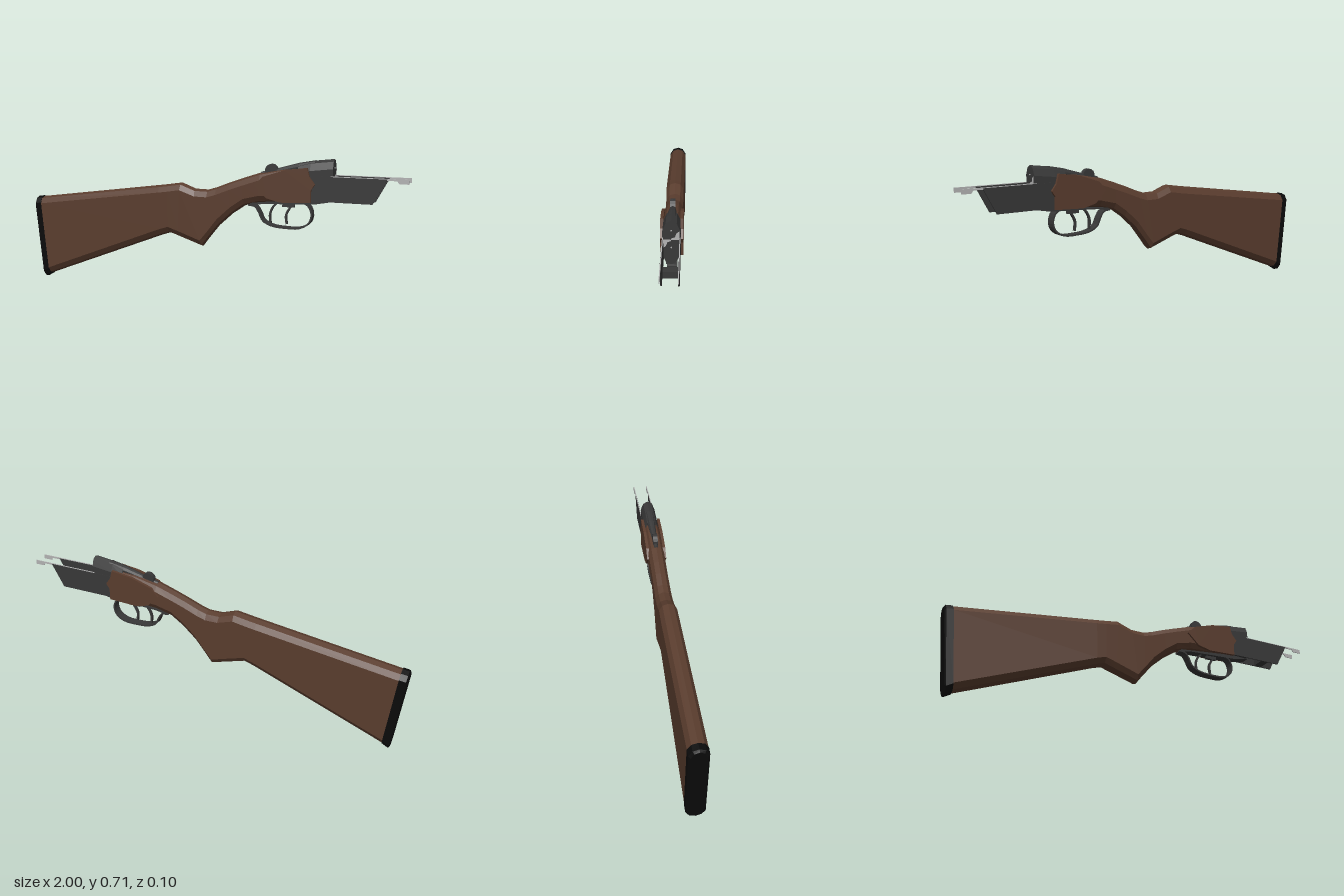
import * as THREE from 'three';

const mat = (name, color, extra = {}) =>
  Object.assign(new THREE.MeshStandardMaterial({ color, flatShading: true, ...extra }), { name });

// Loft of bevelled cross-sections; each station is [topX, topY, bottomX, bottomY, halfWidth, bevel]
function loft(stations) {
  const rings = stations.map(([tx, ty, bx, by, w, bevel = 0.035]) => {
    const top = new THREE.Vector3(tx, ty, 0), bottom = new THREE.Vector3(bx, by, 0);
    const h = top.distanceTo(bottom);
    const b = Math.min(bevel, h * 0.4);
    const half = [[0, 0], [0.62, b * 0.25], [1, b], [1, h - b], [0.62, h - b * 0.25], [0, h]];
    const ring = [...half, ...half.slice(1, -1).reverse().map(([z, d]) => [-z, d])];
    return ring.map(([z, d]) => top.clone().lerp(bottom, d / h).setZ(z * w));
  });
  const pos = [], n = rings[0].length, last = rings.length - 1;
  const tri = (...p) => p.forEach((v) => pos.push(v.x, v.y, v.z));
  for (let i = 0; i < last; i++) {
    for (let j = 0; j < n; j++) {
      const k = (j + 1) % n, a = rings[i], b = rings[i + 1];
      tri(a[j], a[k], b[k]);
      tri(a[j], b[k], b[j]);
    }
  }
  for (let j = 1; j < n - 1; j++) {
    tri(rings[last][0], rings[last][j], rings[last][j + 1]);
    tri(rings[0][0], rings[0][j + 1], rings[0][j]);
  }
  const g = new THREE.BufferGeometry();
  g.setAttribute('position', new THREE.Float32BufferAttribute(pos, 3));
  g.computeVertexNormals();
  return g;
}

// Side outline extruded across z and centred on zMid
function slab(points, width, zMid = 0) {
  const shape = new THREE.Shape(points.map(([x, y]) => new THREE.Vector2(x, y)));
  return new THREE.ExtrudeGeometry(shape, { depth: width, bevelEnabled: false }).translate(0, 0, zMid - width / 2);
}

// Bent strap of even thickness following a smooth path in the side plane
function strap(points, thickness, width, steps = 28) {
  const curve = new THREE.CatmullRomCurve3(points.map(([x, y]) => new THREE.Vector3(x, y, 0)));
  const outer = [], inner = [];
  for (let i = 0; i <= steps; i++) {
    const p = curve.getPoint(i / steps), t = curve.getTangent(i / steps);
    const dx = -t.y * thickness / 2, dy = t.x * thickness / 2;
    outer.push([p.x + dx, p.y + dy]);
    inner.unshift([p.x - dx, p.y - dy]);
  }
  return slab([...outer, ...inner], width);
}

export function createModel() {
  const model = new THREE.Group();
  const wood = mat('walnut wood', 0x5a3d2e);
  const steel = mat('dark steel', 0x383838);
  const bright = mat('bright steel', 0xb4b4b4);
  const rubber = mat('black rubber', 0x0b0b0b);
  const add = (name, geometry, material) => {
    const m = new THREE.Mesh(geometry, material);
    m.name = name;
    model.add(m);
    return m;
  };

  // Butt, pistol grip and wrist
  add('stock', loft([
    [-0.96, 0.447, -0.918, 0.022, 0.045],
    [-0.25, 0.542, -0.24, 0.284, 0.045],
    [-0.2, 0.549, -0.195, 0.298, 0.045],
    [-0.13, 0.56, -0.14, 0.28, 0.044],
    [-0.055, 0.532, -0.015, 0.24, 0.043],
    [0.015, 0.531, 0.02, 0.287, 0.042],
    [0.06, 0.545, 0.075, 0.355, 0.041],
    [0.13, 0.573, 0.145, 0.418, 0.04],
    [0.2, 0.598, 0.21, 0.463, 0.04],
    [0.29, 0.628, 0.29, 0.483, 0.041],
    [0.42, 0.655, 0.42, 0.492, 0.041],
    [0.53, 0.665, 0.53, 0.498, 0.041],
  ]), wood);
  add('buttPad', loft([
    [-1, 0.436, -0.957, 0.008, 0.036],
    [-0.993, 0.447, -0.95, 0, 0.045],
    [-0.96, 0.451, -0.918, 0.018, 0.046],
  ]), rubber);

  // Raised wooden cheek panels beside the action
  const panel = [[0.27, 0.57], [0.31, 0.612], [0.42, 0.648], [0.53, 0.663], [0.542, 0.62],
    [0.568, 0.585], [0.55, 0.558], [0.55, 0.498], [0.4, 0.492], [0.33, 0.51]];
  for (const s of [1, -1]) add(s > 0 ? 'leftPanel' : 'rightPanel', slab(panel, 0.014, s * 0.043), wood);

  // Action body, standing breech and top tang
  add('actionBody', loft([
    [0.48, 0.676, 0.48, 0.503, 0.036, 0.04],
    [0.54, 0.693, 0.54, 0.503, 0.037, 0.045],
    [0.65, 0.706, 0.65, 0.505, 0.037, 0.045],
  ]), steel);
  add('topTang', loft([
    [0.29, 0.632, 0.29, 0.615, 0.01],
    [0.36, 0.648, 0.36, 0.62, 0.013],
    [0.48, 0.682, 0.48, 0.64, 0.02],
    [0.56, 0.697, 0.56, 0.65, 0.024],
  ]), steel);
  const knob = add('leverKnob', new THREE.CylinderGeometry(0.032, 0.032, 0.024, 14), steel);
  knob.rotation.x = Math.PI / 2;
  knob.position.set(0.343, 0.64, 0);

  // Forward side walls with bright ejector rails along their top edges
  const wall = [[0.54, 0.505], [0.838, 0.505], [0.902, 0.624], [0.54, 0.624]];
  const rail = [[0.64, 0.618], [0.945, 0.618], [0.955, 0.605], [1, 0.605], [1, 0.627], [0.64, 0.627]];
  for (const s of [1, -1]) {
    const side = s > 0 ? 'left' : 'right';
    add(side + 'Wall', slab(wall, 0.006, s * 0.036), steel);
    add(side + 'Rail', slab(rail, 0.004, s * 0.0365), bright);
  }
  const bar = add('hingeBar', new THREE.BoxGeometry(0.045, 0.03, 0.07), steel);
  bar.position.set(0.755, 0.521, 0);

  // Bright worn patches and firing pins on the breech face
  const patch = new THREE.Shape([[0, 0], [0.034, 0], [0.034, 0.038], [0.022, 0.03], [0.016, 0.012], [0, 0.006]]
    .map(([a, b]) => new THREE.Vector2(a, b)));
  for (const s of [1, -1]) {
    const p = add(s > 0 ? 'upperPatch' : 'lowerPatch', new THREE.ShapeGeometry(patch), bright);
    p.rotation.set(s > 0 ? 0 : Math.PI, Math.PI / 2, 0, 'XYZ');
    p.position.set(0.652, 0.621, 0);
    const pin = add('firingPin', new THREE.CylinderGeometry(0.003, 0.003, 0.006, 8), bright);
    pin.rotation.z = Math.PI / 2;
    pin.position.set(0.651, s > 0 ? 0.663 : 0.585, 0);
  }

  // Trigger plate, guard and the two triggers
  add('triggerPlate', slab([[0.24, 0.464], [0.3, 0.476], [0.56, 0.488], [0.65, 0.505], [0.56, 0.51], [0.24, 0.478]], 0.044), steel);
  add('triggerGuard', strap([[0.23, 0.468], [0.265, 0.462], [0.285, 0.435], [0.305, 0.395], [0.35, 0.372],
    [0.42, 0.365], [0.49, 0.368], [0.535, 0.395], [0.548, 0.435], [0.535, 0.475], [0.505, 0.495]], 0.008, 0.044), steel);
  add('rearTrigger', strap([[0.375, 0.487], [0.35, 0.46], [0.337, 0.425], [0.34, 0.382]], 0.009, 0.014, 10), steel);
  add('frontTrigger', strap([[0.455, 0.49], [0.435, 0.46], [0.418, 0.425], [0.422, 0.382]], 0.009, 0.014, 10), steel);
  const sear = add('triggerBlock', new THREE.BoxGeometry(0.06, 0.025, 0.016), steel);
  sear.position.set(0.43, 0.478, 0);

  return model;
}
